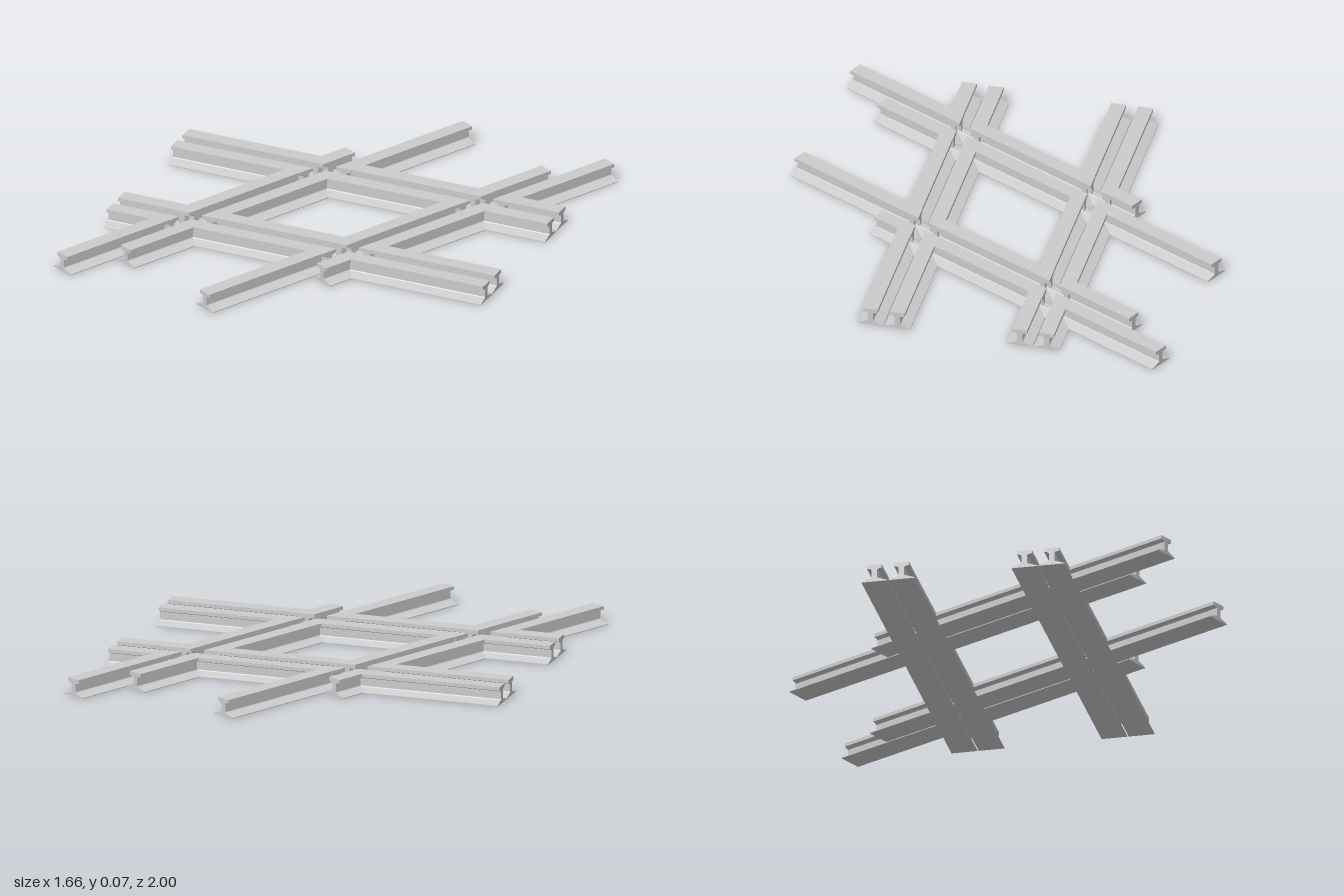
import * as THREE from 'three';

const material = new THREE.MeshStandardMaterial({ color: 0xcccccc, flatShading: true });

// Right half of each rail cross-section, mirrored into a closed shape
const mirrored = (half) => new THREE.Shape(
  [...half, ...half.map(([u, y]) => [-u, y]).reverse()].map(([u, y]) => new THREE.Vector2(u, y)));
const foot = mirrored([[0.0475, 0], [0.0475, 0.003], [0.013, 0.014], [0.01, 0.017]]);
const webAndHead = mirrored([[0.01, 0.015], [0.01, 0.046], [0.014, 0.05],
  [0.0275, 0.053], [0.0275, 0.066]]);

// Sweep a section between two stations; each end is [station, skew]
function bar(name, shape, offset, start, end) {
  const geometry = new THREE.ExtrudeGeometry(shape, { depth: 1, bevelEnabled: false });
  const p = geometry.attributes.position;
  for (let i = 0; i < p.count; i++) {
    const u = p.getX(i) + offset;
    const [station, skew] = p.getZ(i) > 0.5 ? start : end;
    p.setX(i, u);
    p.setZ(i, -(station + skew * u));
  }
  geometry.computeVertexNormals();
  const mesh = new THREE.Mesh(geometry, material);
  mesh.name = name;
  return mesh;
}

// One rail: an unbroken foot, with web and head cut at each flangeway
function rail(name, offset, from, to, crossings, skew) {
  const group = new THREE.Group();
  group.name = name;
  group.add(bar('railFoot', foot, offset, [from, 0], [to, 0]));
  const halfGap = 0.024;
  let start = [from, 0];
  for (const c of crossings) {
    group.add(bar('railHead', webAndHead, offset, start, [c - halfGap, skew]));
    start = [c + halfGap, skew];
  }
  group.add(bar('railHead', webAndHead, offset, start, [to, 0]));
  return group;
}

export function createModel() {
  const model = new THREE.Group();
  model.name = 'railCrossing';
  const side = 0.05;

  // Each half of the crossing is the other turned by 180 degrees
  for (const turn of [0, Math.PI]) {
    const half = new THREE.Group();
    half.name = turn ? 'rightHalf' : 'leftHalf';
    half.rotation.y = turn;

    // Straight pair: long outer rail and inner rail
    const straight = new THREE.Group();
    straight.name = 'straightRails';
    straight.position.x = -0.2775;
    straight.add(
      rail('outerRail', -side, -1, 0.33, [-0.448, 0.17], 0.5),
      rail('innerRail', side, -0.787, 0.79, [-0.448, 0.17], 0.5));

    // Diagonal pair with square ends
    const diagonal = new THREE.Group();
    diagonal.name = 'diagonalRails';
    diagonal.position.set(-0.123, 0, -0.2475);
    diagonal.rotation.y = -Math.atan(2);
    for (const s of [-1, 1]) {
      diagonal.add(rail('diagonalRail', s * side, -0.7435, 0.7435, [-0.173, 0.448], -0.5));
    }

    half.add(straight, diagonal);
    model.add(half);
  }
  return model;
}
